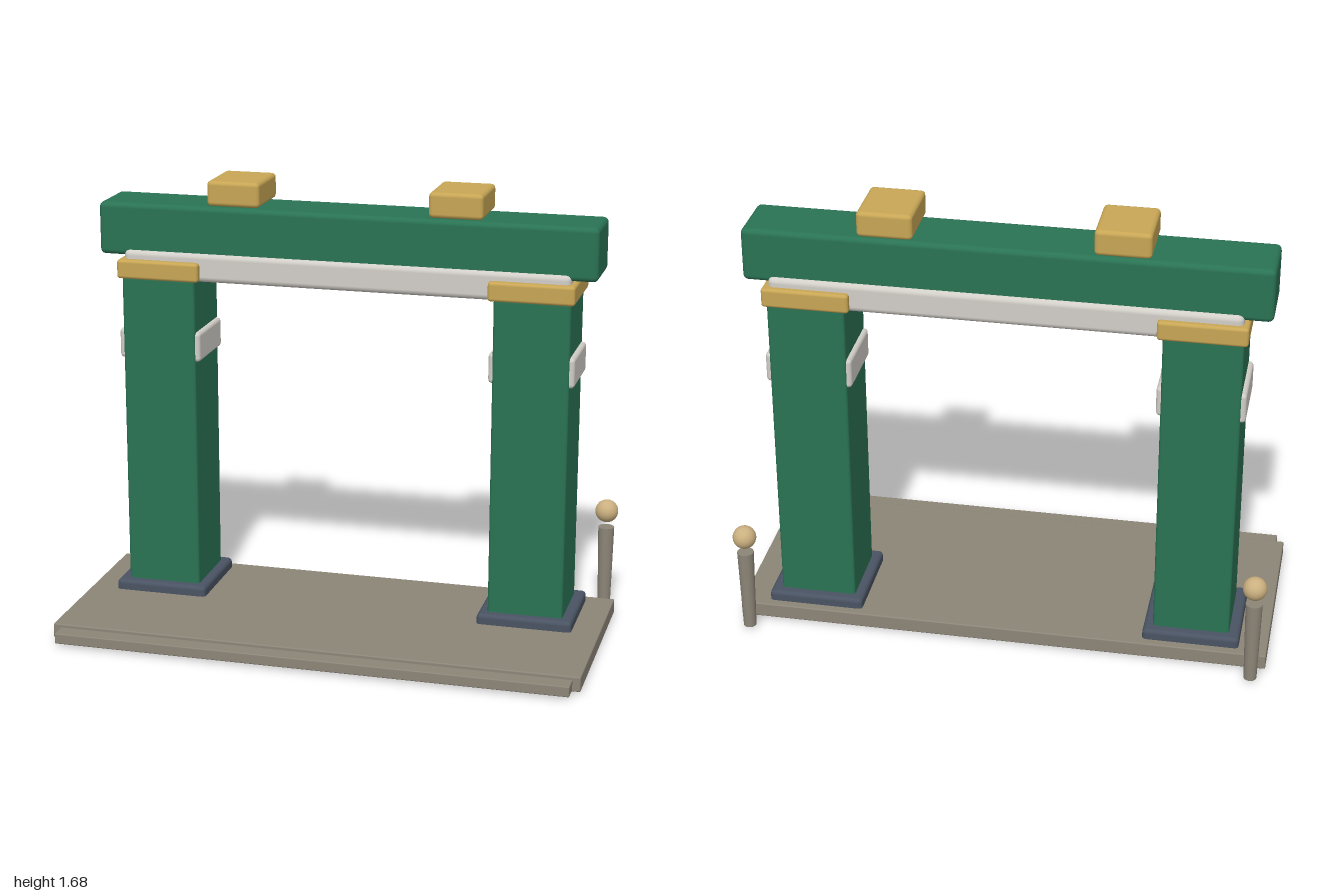
import * as THREE from 'three';
import { RoundedBoxGeometry } from 'three/addons/geometries/RoundedBoxGeometry.js';

const paint = (color) => new THREE.MeshStandardMaterial({ color });
const green = paint(0x2a7354);
const gold = paint(0xc8a655);
const stone = paint(0x8c8578);
const pale = paint(0xd2cec8);
const slate = paint(0x4a5363);
const tan = paint(0xcbb080);
const olive = paint(0x9a8d62);

export function createModel() {
  const model = new THREE.Group();
  model.name = 'gateway';

  // Soft-edged block given by its extents on each axis
  function block(parent, name, material, [x0, x1], [y0, y1], [z0, z1], radius) {
    const geometry = new RoundedBoxGeometry(x1 - x0, y1 - y0, z1 - z0, 2, radius);
    const mesh = new THREE.Mesh(geometry, material);
    mesh.position.set((x0 + x1) / 2, (y0 + y1) / 2, (z0 + z1) / 2);
    mesh.name = name;
    parent.add(mesh);
    return mesh;
  }

  // Floor slab, front step and the panel set into the underside
  block(model, 'floorSlab', stone, [-1, 1], [0.006, 0.063], [-0.38, 0.42], 0.005);
  block(model, 'frontStep', stone, [-0.97, 0.97], [0.01, 0.05], [0.36, 0.485], 0.004);
  block(model, 'undersidePanel', olive, [-0.42, 0.42], [0.002, 0.03], [-0.23, 0.18], 0.004);

  // Everything that repeats on the left and right
  for (const side of [1, -1]) {
    const label = side > 0 ? 'left' : 'right';
    const span = (a, b) => (side > 0 ? [a, b] : [-b, -a]);

    const column = new THREE.Group();
    column.name = label + 'Column';
    model.add(column);
    block(column, 'plinth', slate, span(0.535, 0.895), [0.002, 0.102], [-0.348, 0.012], 0.016);
    block(column, 'shaft', green, span(0.57, 0.855), [0, 1.31], [-0.31, -0.025], 0.012);
    block(column, 'sideBand', pale, span(0.553, 0.873), [0.99, 1.105], [-0.303, -0.032], 0.015);
    block(column, 'capital', gold, span(0.55, 0.87), [1.303, 1.376], [-0.326, -0.009], 0.012);

    // Gold block on top of the lintel
    block(model, label + 'RoofBlock', gold, span(0.32, 0.522), [1.59, 1.685], [-0.286, -0.048], 0.016);

    // Free-standing post with a ball above it
    const post = new THREE.Group();
    post.name = label + 'Post';
    post.position.set(side * 0.95, 0, -0.442);
    const stem = new THREE.Mesh(new THREE.CylinderGeometry(0.031, 0.024, 0.325, 20), stone);
    stem.name = 'stem';
    stem.position.y = 0.171;
    const ball = new THREE.Mesh(new THREE.SphereGeometry(0.044, 24, 16), tan);
    ball.name = 'ball';
    ball.position.y = 0.398;
    post.add(stem, ball);
    model.add(post);
  }

  // Pale beam under the lintel, and the lintel itself
  block(model, 'underBeam', pale, [-0.85, 0.85], [1.3, 1.41], [-0.303, -0.035], 0.022);
  block(model, 'lintel', green, [-0.95, 0.945], [1.385, 1.585], [-0.286, -0.05], 0.02);

  return model;
}
